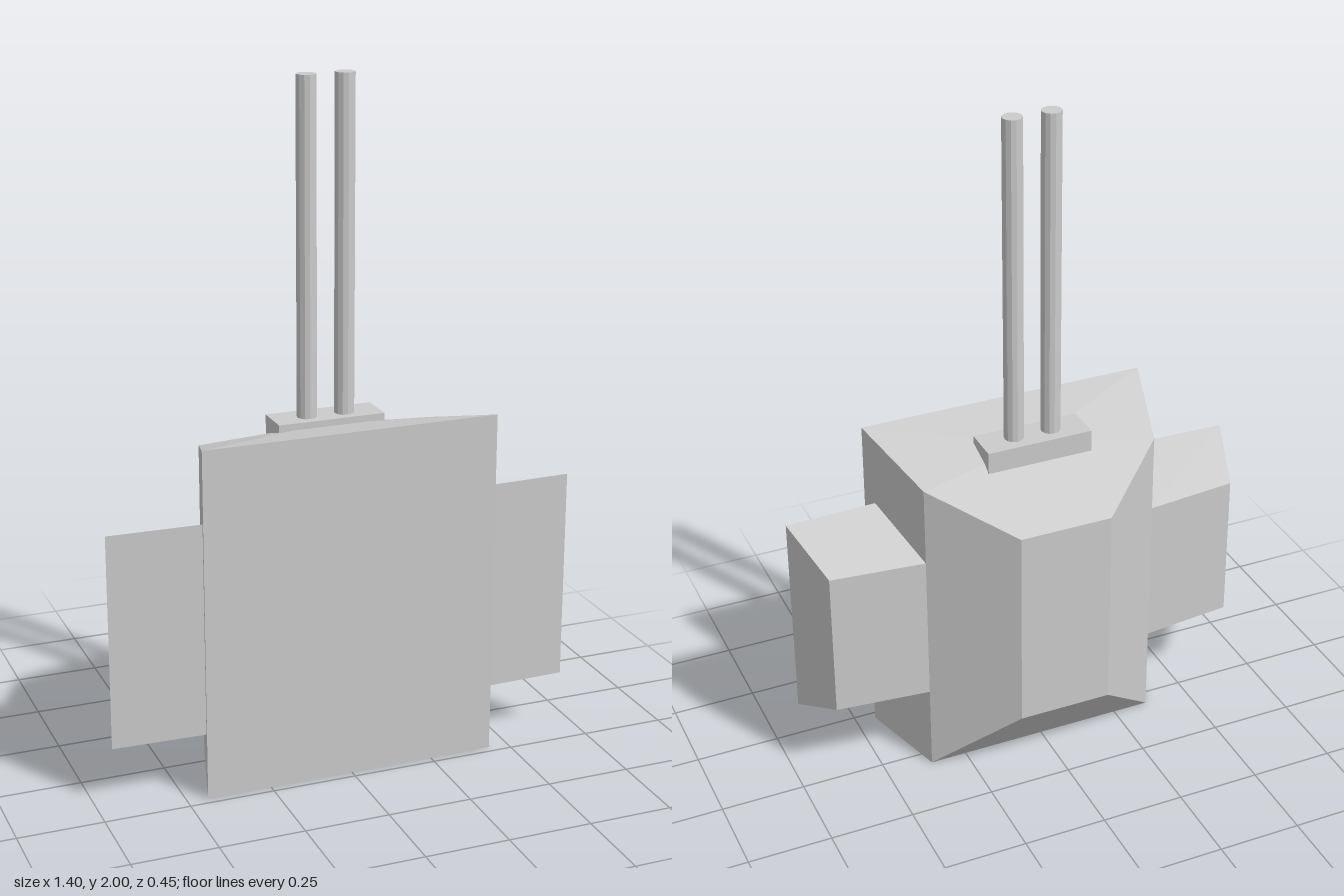
import * as THREE from 'three';
import { ConvexGeometry } from 'three/addons/geometries/ConvexGeometry.js';

const material = new THREE.MeshStandardMaterial({ color: 0xcccccc, flatShading: true });

function add(group, name, geometry, x = 0, y = 0, z = 0) {
  const mesh = new THREE.Mesh(geometry, material);
  mesh.name = name;
  mesh.position.set(x, y, z);
  group.add(mesh);
}

// Faceted solid from vertical edges [x, z, bottom, top] plus loose points
function facetedSolid(edges, extra = []) {
  const points = edges.flatMap(([x, z, low, high]) => [
    new THREE.Vector3(x, low, z), new THREE.Vector3(x, high, z),
  ]);
  return new ConvexGeometry([...points, ...extra]);
}

export function createModel() {
  const group = new THREE.Group();

  // Main pack: flat front plate, tapered back, top rising to a low peak
  const halfBody = [[0.44, 0.225, 0, 1.04], [0.36, -0.05, 0, 0.96], [0.14, -0.225, 0.22, 0.845]];
  const bodyEdges = halfBody.flatMap(([x, z, low, high]) => [[x, z, low, high], [-x, z, low, high]]);
  add(group, 'body', facetedSolid(bodyEdges, [new THREE.Vector3(0, 1.0, 0.01)]));

  // Base block of the twin rods
  add(group, 'rodMount', new THREE.BoxGeometry(0.32, 0.07, 0.11), 0, 0.995, 0.011);

  for (const [side, s] of [['left', 1], ['right', -1]]) {
    // Side pod, tapering towards the back
    const pod = [[0.36, 0.178, 0.175, 0.81], [0.7, 0.167, 0.175, 0.81],
      [0.64, -0.02, 0.265, 0.72], [0.36, -0.05, 0.265, 0.72]];
    add(group, side + 'SidePod', facetedSolid(pod.map(([x, z, low, high]) => [s * x, z, low, high])));

    // Tall rod
    add(group, side + 'Rod', new THREE.CylinderGeometry(0.029, 0.029, 1, 12), s * 0.057, 1.5, 0.014);
  }
  return group;
}
